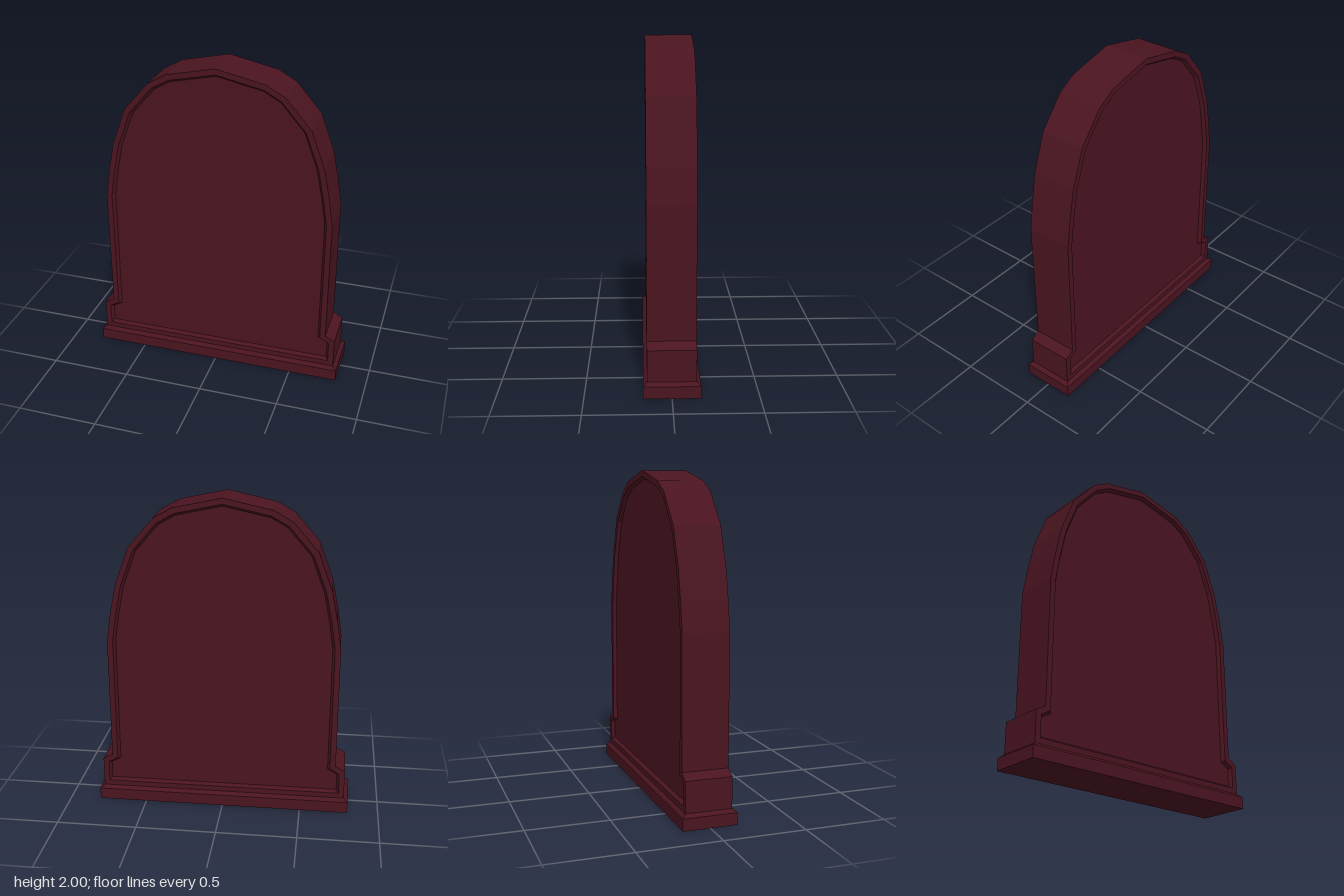
import * as THREE from 'three';

// Joins equal-length counter-clockwise outlines, given back to front, and caps both ends
function loft(sections) {
  const pos = [];
  const put = (s, i) => {
    const p = s.pts[i % s.pts.length];
    pos.push(p.x, p.y, s.z);
  };
  for (let k = 0; k + 1 < sections.length; k++) {
    const a = sections[k], b = sections[k + 1];
    for (let i = 0; i < a.pts.length; i++) {
      put(a, i); put(a, i + 1); put(b, i + 1);
      put(a, i); put(b, i + 1); put(b, i);
    }
  }
  const first = sections[0], last = sections[sections.length - 1];
  for (const [a, b, c] of THREE.ShapeUtils.triangulateShape(first.pts, [])) {
    put(first, a); put(first, c); put(first, b);
  }
  for (const [a, b, c] of THREE.ShapeUtils.triangulateShape(last.pts, [])) {
    put(last, a); put(last, b); put(last, c);
  }
  const geo = new THREE.BufferGeometry();
  geo.setAttribute('position', new THREE.Float32BufferAttribute(pos, 3));
  geo.computeVertexNormals();
  return geo;
}

// Moves every edge of a counter-clockwise outline inwards by d, with mitred corners
function inset(pts, d) {
  const n = pts.length;
  const normal = (a, b) => new THREE.Vector2(a.y - b.y, b.x - a.x).normalize();
  return pts.map((p, i) => {
    const n1 = normal(pts[(i + n - 1) % n], p);
    const n2 = normal(p, pts[(i + 1) % n]);
    const m = n1.clone().add(n2);
    return p.clone().addScaledVector(m, d / (1 + n1.dot(n2)));
  });
}

const rect = (w, h) => [[-w, -h], [w, -h], [w, h], [-w, h]].map(([x, y]) => new THREE.Vector2(x, y));

export function createModel() {
  const group = new THREE.Group();
  const material = new THREE.MeshStandardMaterial({ color: 0x4a1420, flatShading: true });
  const add = (name, geometry) => {
    const mesh = new THREE.Mesh(geometry, material);
    mesh.name = name;
    group.add(mesh);
  };

  // Arched slab with a raised rim around a recessed panel on both faces
  const half = [
    [0.78, 0.09], [0.78, 0.28], [0.72, 0.313], [0.72, 1.1], [0.692, 1.28],
    [0.655, 1.46], [0.57, 1.69], [0.415, 1.87], [0.3, 1.935],
  ];
  const outline = [...half, [0, 2], ...half.map(([x, y]) => [-x, y]).reverse()]
    .map(([x, y]) => new THREE.Vector2(x, y));
  const rim = inset(outline, 0.035);
  const panel = inset(outline, 0.05);
  const face = 0.142, recess = 0.12;
  add('archedSlab', loft([
    { pts: panel, z: -recess },
    { pts: rim, z: -face },
    { pts: outline, z: -face },
    { pts: outline, z: face },
    { pts: rim, z: face },
    { pts: panel, z: recess },
  ]));

  // Plinth with a chamfered top edge
  add('plinth', loft([
    { pts: rect(0.805, 0.165), z: 0 },
    { pts: rect(0.805, 0.165), z: 0.073 },
    { pts: rect(0.78, 0.142), z: 0.092 },
  ]).rotateX(-Math.PI / 2));

  return group;
}
